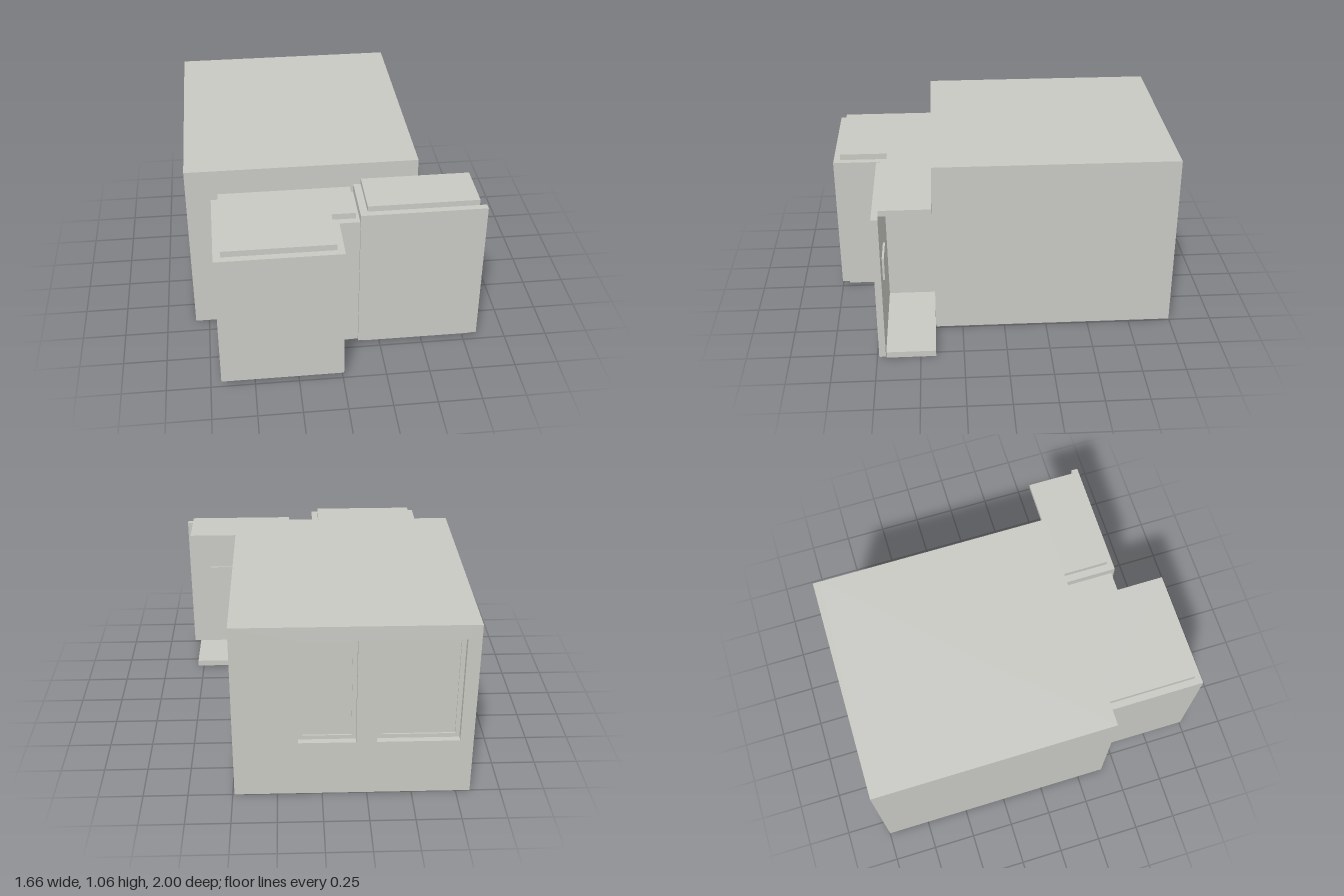
import * as THREE from 'three';

const plaster = new THREE.MeshStandardMaterial({ color: 0xc8c8c3 });
plaster.name = 'plaster grey';

function add(group, name, geometry) {
  const mesh = new THREE.Mesh(geometry, plaster);
  mesh.name = name;
  group.add(mesh);
  return mesh;
}

// Box given by its minimum and maximum on each axis
function block(group, name, [x0, x1], [y0, y1], [z0, z1]) {
  const mesh = add(group, name, new THREE.BoxGeometry(x1 - x0, y1 - y0, z1 - z0));
  mesh.position.set((x0 + x1) / 2, (y0 + y1) / 2, (z0 + z1) / 2);
  return mesh;
}

// Floor plan of [x, z] points raised from y0 to y1
function plan(group, name, points, y0, y1) {
  const shape = new THREE.Shape(points.map(([x, z]) => new THREE.Vector2(x, -z)));
  const geometry = new THREE.ExtrudeGeometry(shape, { depth: y1 - y0, bevelEnabled: false });
  geometry.rotateX(-Math.PI / 2).translate(0, y0, 0);
  return add(group, name, geometry);
}

function rectangle(PathType, [x0, x1], [y0, y1]) {
  return new PathType([[x0, y0], [x1, y0], [x1, y1], [x0, y1]].map(([x, y]) => new THREE.Vector2(x, y)));
}

export function createModel() {
  const model = new THREE.Group();
  model.name = 'apartment';

  // Main room, its back wall pierced by two windows
  const room = new THREE.Group();
  room.name = 'mainRoom';
  model.add(room);
  const roomX = [-0.83, 0.49], roomY = [0, 1.06];
  block(room, 'roomBody', roomX, roomY, [-0.955, 0.41]);
  const windows = [
    { x: [-0.186, 0.131], y: [0.34, 0.975] },
    { x: [-0.756, -0.30], y: [0.34, 0.975] },
  ];
  const wall = rectangle(THREE.Shape, roomX, roomY);
  for (const w of windows) wall.holes.push(rectangle(THREE.Path, w.x, w.y));
  add(room, 'backWall', new THREE.ExtrudeGeometry(wall, { depth: 0.045, bevelEnabled: false }).translate(0, 0, -1));

  // Narrow frames set inside the window recesses
  for (const { x, y } of windows) {
    const frame = rectangle(THREE.Shape, x, y);
    const t = 0.025;
    frame.holes.push(rectangle(THREE.Path, [x[0] + t, x[1] - t], [y[0] + t, y[1] - t]));
    add(room, 'windowFrame', new THREE.ExtrudeGeometry(frame, { depth: 0.009, bevelEnabled: false }).translate(0, 0, -0.964));
  }

  // Stepped front room: walls between an inset floor and roof
  const front = new THREE.Group();
  front.name = 'frontRoom';
  model.add(front);
  const outer = [[-0.69, 0.41], [-0.69, 1], [0.005, 1], [0.005, 0.718], [0.12, 0.718], [0.12, 0.41]];
  const inner = [[-0.65, 0.41], [-0.65, 0.96], [-0.035, 0.96], [-0.035, 0.678], [0.10, 0.678], [0.10, 0.41]];
  plan(front, 'frontFloor', inner, 0, 0.037);
  plan(front, 'frontWalls', outer, 0.037, 0.872);
  plan(front, 'frontRoof', inner, 0.872, 0.908);

  // Side porch, open towards +x
  const porch = new THREE.Group();
  porch.name = 'porch';
  model.add(porch);
  const porchX = [0.162, 0.787], porchZ = [0.412, 0.697];
  block(porch, 'porchFloor', porchX, [0, 0.037], porchZ);
  block(porch, 'porchRoof', porchX, [0.924, 0.958], porchZ);
  plan(porch, 'porchWalls',
    [[0.12, 0.412], [0.12, 0.735], [0.827, 0.735], [0.827, 0.697], [0.162, 0.697], [0.162, 0.412]], 0.037, 0.924);
  block(porch, 'wallPanel', [0.51, 0.69], [0.465, 0.605], [0.685, 0.697]);

  // Shallow round ceiling lamp
  const lamp = add(porch, 'ceilingLamp',
    new THREE.SphereGeometry(0.046, 28, 12).scale(1, 0.33, 1));
  lamp.position.set(0.56, 0.914, 0.555);

  return model;
}
